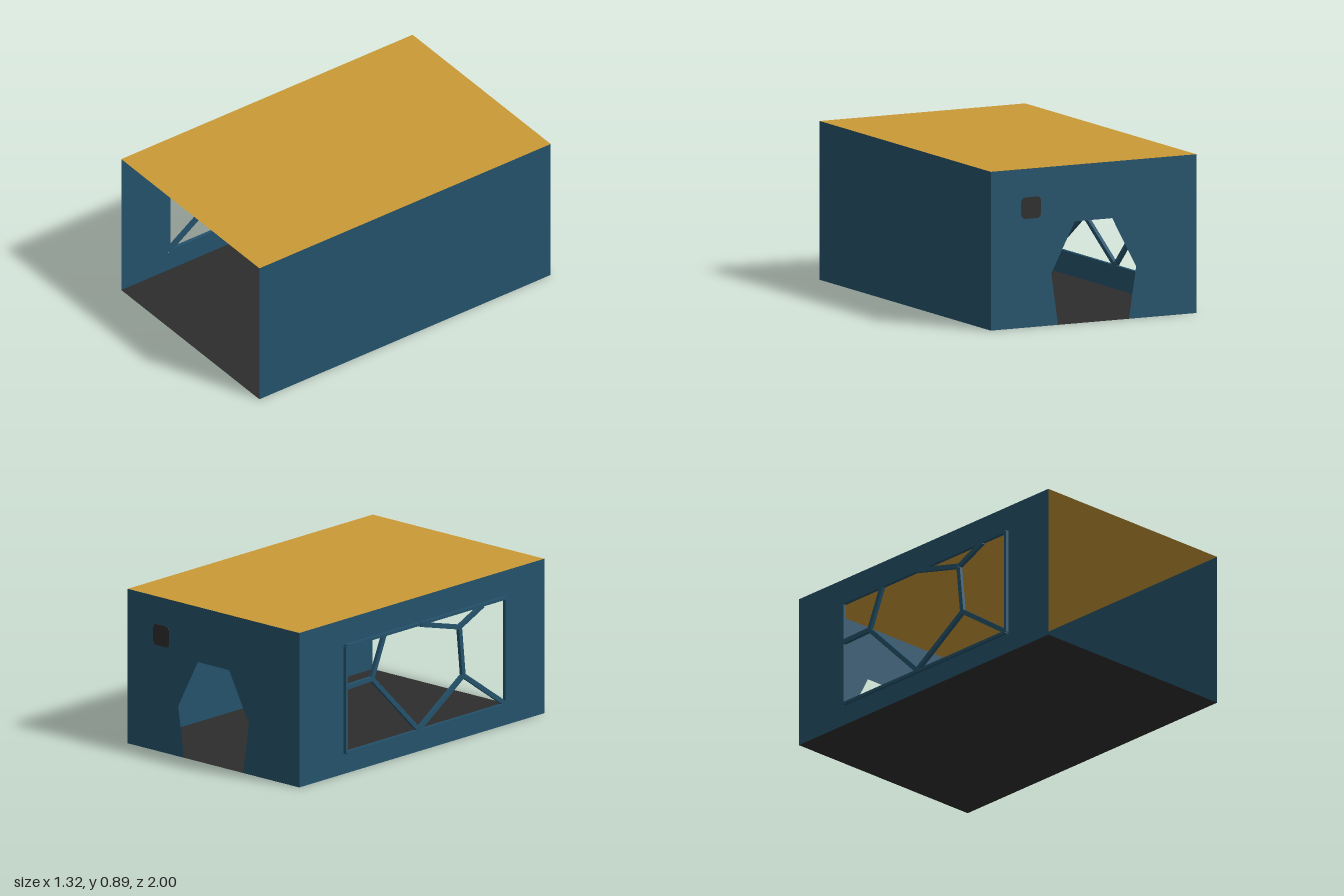
import * as THREE from 'three';

const X0 = -0.633, X1 = 0.658, H = 0.89;

function material(name, color, side = THREE.FrontSide) {
  const m = new THREE.MeshStandardMaterial({ color, side });
  m.name = name;
  return m;
}

const polygon = (pts) => pts.map(([x, y]) => new THREE.Vector2(x, y));

function roundedSquare(size, r) {
  const h = size / 2, s = new THREE.Shape();
  for (let i = 0; i < 4; i++) {
    const a = (i * Math.PI) / 2;
    const sx = i === 0 || i === 3 ? 1 : -1, sy = i < 2 ? 1 : -1;
    s.absarc(sx * (h - r), sy * (h - r), r, a, a + Math.PI / 2, false);
  }
  s.closePath();
  return s;
}

export function createModel() {
  const room = new THREE.Group();
  room.name = 'room';
  const blue = material('wall blue', 0x24526b, THREE.DoubleSide);
  const gold = material('roof gold', 0xca9a36, THREE.DoubleSide);
  const dark = material('floor charcoal', 0x2d2d2d, THREE.DoubleSide);

  const add = (name, geometry, mat, parent = room) => {
    const mesh = new THREE.Mesh(geometry, mat);
    mesh.name = name;
    parent.add(mesh);
    return mesh;
  };

  // Floor and roof sheets
  const slab = (name, y, mat, turn) => {
    const mesh = add(name, new THREE.PlaneGeometry(X1 - X0, 2).rotateX(turn), mat);
    mesh.position.set((X0 + X1) / 2, y, 0);
  };
  slab('floor', 0, dark, Math.PI / 2);
  slab('roof', H, gold, -Math.PI / 2);

  // Solid left wall
  const solid = add('leftWall', new THREE.PlaneGeometry(2, H).rotateY(Math.PI / 2), blue);
  solid.position.set(X1, H / 2, 0);

  // Back wall with a faceted doorway; the front stays open
  const back = new THREE.Shape(polygon([
    [X0, 0], [-0.21, 0], [-0.255, 0.29], [-0.105, 0.572], [0.13, 0.572],
    [0.278, 0.29], [0.235, 0], [X1, 0], [X1, H], [X0, H],
  ]));
  add('backWall', new THREE.ShapeGeometry(back), blue).position.z = -1;

  // Small rounded panel, showing on both sides of the back wall
  const panel = new THREE.ExtrudeGeometry(roundedSquare(0.12, 0.025), {
    depth: 0.006, bevelEnabled: false, curveSegments: 5,
  });
  add('wallPanel', panel, dark).position.set(0.404, 0.67, -1.003);

  // Right wall with a wide window opening (drawn as z, y)
  const z0 = -0.64, z1 = 0.68, y0 = 0.115, y1 = 0.745;
  const side = new THREE.Shape(polygon([[-1, 0], [1, 0], [1, H], [-1, H]]));
  side.holes.push(new THREE.Path(polygon([[z0, y0], [z0, y1], [z1, y1], [z1, y0]])));
  add('rightWall', new THREE.ShapeGeometry(side).rotateY(-Math.PI / 2), blue).position.x = X0;

  // Window frame and branching bars, standing just outside the wall
  const windowBars = new THREE.Group();
  windowBars.name = 'windowBars';
  room.add(windowBars);
  const bar = (name, [az, ay], [bz, by], width, out = 0) => {
    const length = Math.hypot(bz - az, by - ay);
    const mesh = add(name, new THREE.BoxGeometry(0.02, width, length), blue, windowBars);
    mesh.position.set(X0 - 0.009 - out, (ay + by) / 2, (az + bz) / 2);
    mesh.rotation.x = -Math.atan2(by - ay, bz - az);
  };

  const e = 0.008;
  const corners = [[z0 + e, y0 + e], [z1 - e, y0 + e], [z1 - e, y1 - e], [z0 + e, y1 - e]];
  corners.forEach((c, i) => bar('windowFrame', c, corners[(i + 1) % 4], 2 * e));

  const forkA = [-0.42, 0.505], forkB = [0.325, 0.365], forkC = [0.295, 0.65], foot = [-0.04, 0.13];
  [
    [[-0.63, 0.5], forkA], [forkA, [-0.32, 0.735]], [forkA, foot], [foot, forkB],
    [forkB, [0.665, 0.13]], [forkB, forkC], [forkC, [0.485, 0.735]],
  ].forEach(([a, b]) => bar('windowBar', a, b, 0.026));
  bar('windowBar', forkC, [-0.03, 0.735], 0.026, 0.005);

  return room;
}
